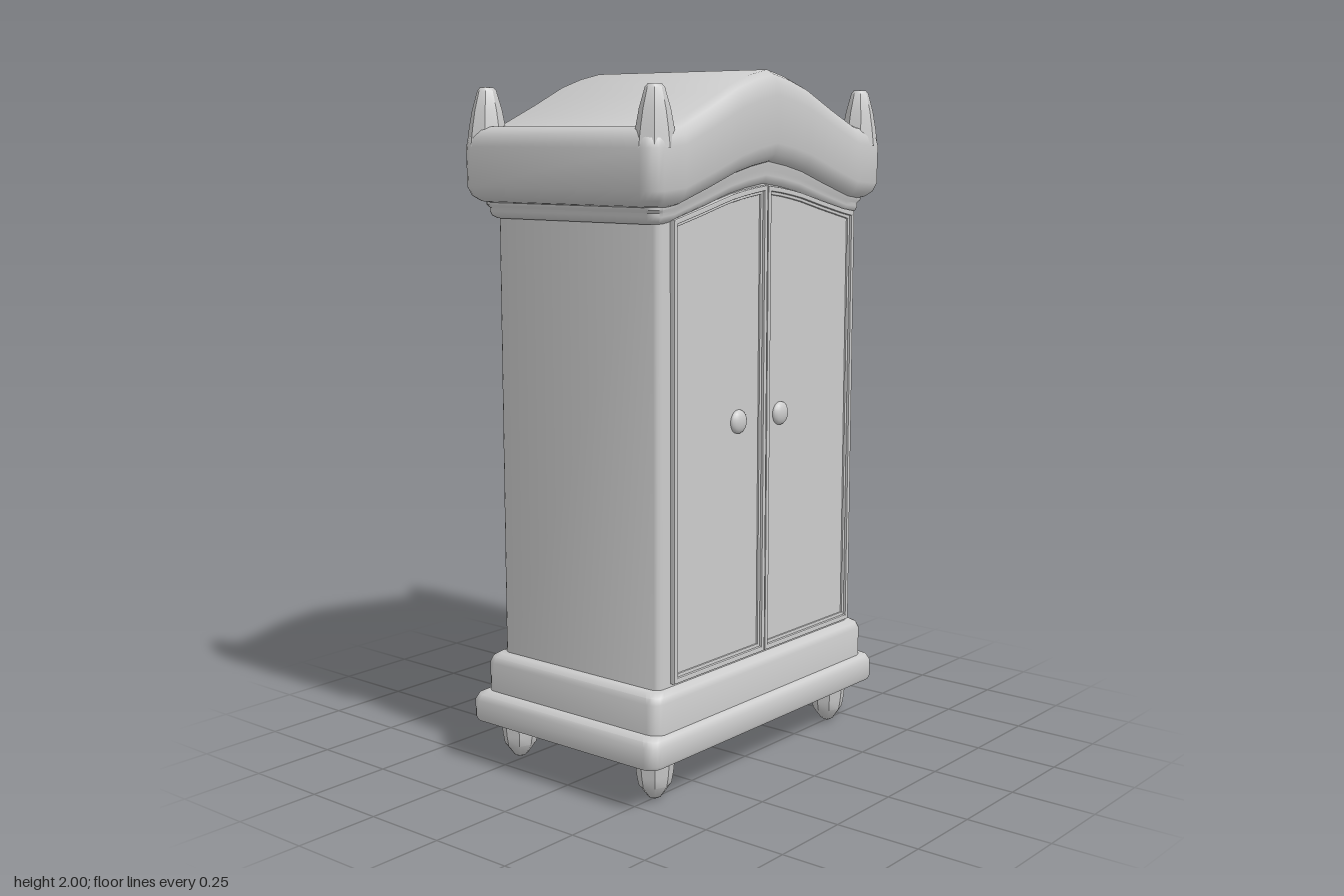
import * as THREE from 'three';
import { toCreasedNormals } from 'three/addons/utils/BufferGeometryUtils.js';

const grey = new THREE.MeshStandardMaterial({ color: 0xcccccc });
const bendX = [-0.4, -0.34, -0.28, -0.22, -0.16, -0.08, 0, 0.08, 0.16, 0.22, 0.28, 0.34, 0.4];

// Height of the pediment curve, 0 at the shoulders and 1 in the middle
const archPoints = [[0, 1], [0.08, 0.89], [0.16, 0.73], [0.28, 0.38], [0.42, 0], [9, 0]];
function arch(x) {
  const a = Math.abs(x);
  const i = archPoints.findIndex((p) => p[0] > a);
  const [x0, y0] = archPoints[i - 1], [x1, y1] = archPoints[i];
  return y0 + ((a - x0) / (x1 - x0)) * (y1 - y0);
}

function add(parent, name, geometry, x = 0, y = 0, z = 0) {
  const mesh = new THREE.Mesh(geometry, grey);
  mesh.name = name;
  mesh.position.set(x, y, z);
  parent.add(mesh);
  return mesh;
}

// Stack of rounded rectangles [halfWidth, halfDepth, y, archHeight], capped at both ends
function loft(rings, radius, crease = 0.75) {
  const pos = [], index = [];
  let n = 0;
  for (const [w, d, y, k] of rings) {
    const half = [];
    const corner = (sx, i) => {
      const a = (i / 4) * (Math.PI / 2);
      half.push([sx * (w - radius + radius * Math.cos(a)), d - radius + radius * Math.sin(a)]);
    };
    for (let i = 0; i <= 4; i++) corner(-1, i);
    bendX.forEach((x) => half.push([x, d]));
    for (let i = 4; i >= 0; i--) corner(1, i);
    const loop = [...half, ...half.map(([x, z]) => [x, -z]).reverse()];
    n = loop.length;
    loop.forEach(([x, z]) => pos.push(x, y + k * arch(x), z));
  }
  const quad = (a, b, c, d) => index.push(a, b, c, a, c, d);
  const top = (rings.length - 1) * n;
  for (let r = 0; r < rings.length - 1; r++) {
    for (let i = 0; i < n; i++) {
      const j = (i + 1) % n;
      quad(r * n + i, r * n + j, (r + 1) * n + j, (r + 1) * n + i);
    }
  }
  for (let i = 0; i < n / 2 - 1; i++) {
    quad(top + i, top + i + 1, top + n - 2 - i, top + n - 1 - i);
    quad(n - 1 - i, n - 2 - i, i + 1, i);
  }
  const g = new THREE.BufferGeometry();
  g.setAttribute('position', new THREE.Float32BufferAttribute(pos, 3));
  g.setIndex(index);
  return toCreasedNormals(g, crease);
}

function lathe(points, sides) {
  return toCreasedNormals(new THREE.LatheGeometry(points.map((p) => new THREE.Vector2(...p)), sides), 0.7);
}

// Door outline with an arched top, inset by m on all sides
function doorOutline(x0, x1, m, Type) {
  const pts = [new THREE.Vector2(x0 + m, 0.34 + m), new THREE.Vector2(x1 - m, 0.34 + m)];
  for (let i = 0; i <= 8; i++) {
    const x = x1 - m + ((x0 - x1 + 2 * m) * i) / 8;
    pts.push(new THREE.Vector2(x, 1.6 + 0.085 * arch(x) - m));
  }
  return new Type(pts);
}

function doorFrame(x0, x1, outer, inner, depth) {
  const shape = doorOutline(x0, x1, outer, THREE.Shape);
  shape.holes.push(doorOutline(x0, x1, inner, THREE.Path));
  return new THREE.ExtrudeGeometry(shape, {
    depth, bevelEnabled: true, bevelThickness: 0.004, bevelSize: 0.003, bevelSegments: 2,
  });
}

export function createModel() {
  const model = new THREE.Group();
  model.name = 'wardrobe';

  // Two-step plinth
  add(model, 'baseLower', loft([
    [0.535, 0.345, 0.135, 0], [0.538, 0.35, 0.145, 0], [0.538, 0.35, 0.195, 0],
    [0.53, 0.342, 0.212, 0], [0.51, 0.325, 0.221, 0],
  ], 0.035));
  add(model, 'baseUpper', loft([
    [0.502, 0.326, 0.215, 0], [0.502, 0.326, 0.305, 0], [0.496, 0.32, 0.322, 0], [0.48, 0.305, 0.332, 0],
  ], 0.035), 0, 0, 0.004);

  // Cabinet body with rounded corners
  add(model, 'body', loft([[0.462, 0.295, 0.32, 0], [0.462, 0.295, 1.61, 0.1]], 0.025), 0.004, 0, 0.004);

  // Stepped moulding under the crown
  add(model, 'neckMoulding', loft([
    [0.464, 0.297, 1.592, 0.095], [0.475, 0.308, 1.6, 0.097], [0.479, 0.312, 1.612, 0.1],
    [0.479, 0.312, 1.622, 0.104], [0.486, 0.318, 1.63, 0.11], [0.486, 0.318, 1.65, 0.115],
  ], 0.03));

  // Arched crown
  add(model, 'crown', loft([
    [0.485, 0.315, 1.636, 0.112], [0.505, 0.327, 1.64, 0.113], [0.526, 0.342, 1.655, 0.115],
    [0.535, 0.351, 1.68, 0.12], [0.536, 0.352, 1.79, 0.14], [0.531, 0.347, 1.815, 0.147],
    [0.518, 0.334, 1.835, 0.152], [0.495, 0.31, 1.845, 0.155],
  ], 0.045, 0.9));

  // Corner finials and feet
  const finial = lathe([[0.068, 1.79], [0.06, 1.84], [0.049, 1.89], [0.031, 1.943], [0.022, 1.952], [0, 1.953]], 8);
  const foot = lathe([[0, 0.005], [0.022, 0.015], [0.05, 0.05], [0.056, 0.08], [0.063, 0.14]], 8);
  for (const sx of [-1, 1]) {
    for (const sz of [-1, 1]) {
      add(model, 'finial', finial, sx * 0.472, 0, sz * 0.305).scale.set(0.95, 1, 0.75);
      add(model, 'foot', foot, sx * 0.42, 0, sz * 0.26 - 0.004).scale.z = 0.85;
    }
  }

  // Pair of doors: thin outer bead, raised inner bead, panel and knob
  for (const [name, x0, x1, knobX] of [['rightDoor', -0.405, 0.008, -0.11], ['leftDoor', 0.008, 0.442, 0.087]]) {
    const door = new THREE.Group();
    door.name = name;
    add(door, 'doorFrame', doorFrame(x0, x1, 0.004, 0.013, 0.014), 0, 0, 0.296);
    add(door, 'doorBead', doorFrame(x0, x1, 0.011, 0.022, 0.006), 0, 0, 0.296);
    add(door, 'doorPanel', new THREE.ShapeGeometry(doorOutline(x0, x1, 0.015, THREE.Shape)), 0, 0, 0.3005);
    add(door, 'knob', new THREE.SphereGeometry(0.034, 16, 12), knobX, 1.03, 0.302).scale.z = 0.5;
    model.add(door);
  }
  return model;
}
